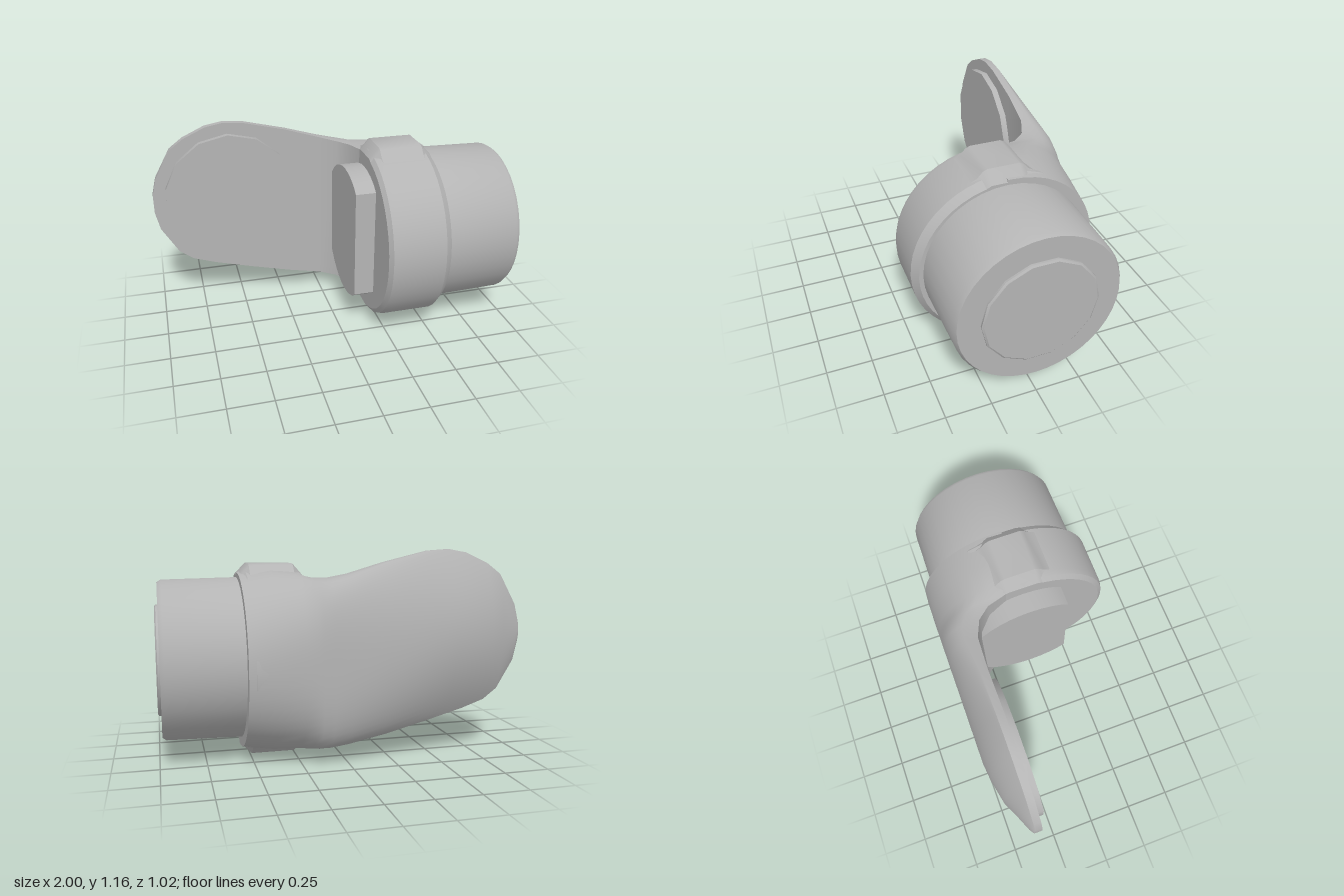
import * as THREE from 'three';
import { toCreasedNormals } from 'three/addons/utils/BufferGeometryUtils.js';

const grey = new THREE.MeshStandardMaterial({ color: 0xb4b4b4 });
grey.name = 'satin grey';

// Closed solid through rings of [z, y] points placed at increasing x
function loft(xs, rings) {
  const n = rings[0].length, pos = [], idx = [];
  rings.forEach((ring, j) => ring.forEach(([z, y]) => pos.push(xs[j], y, z)));
  for (let j = 0; j < rings.length - 1; j++) {
    for (let i = 0; i < n; i++) {
      const a = j * n + i, b = j * n + (i + 1) % n;
      idx.push(a, b, a + n, b, b + n, a + n);
    }
  }
  // End caps as fans around the ring centres
  [0, rings.length - 1].forEach((j) => {
    const c = pos.length / 3, r = rings[j];
    const mean = (k) => r.reduce((s, p) => s + p[k], 0) / n;
    pos.push(xs[j], mean(1), mean(0));
    for (let i = 0; i < n; i++) {
      const a = j * n + i, b = j * n + (i + 1) % n;
      if (j === 0) idx.push(c, b, a); else idx.push(c, a, b);
    }
  });
  const g = new THREE.BufferGeometry();
  g.setAttribute('position', new THREE.Float32BufferAttribute(pos, 3));
  g.setIndex(idx);
  return toCreasedNormals(g, 0.6);
}

// Turned part around the x axis from [x, radius] points
function turned(points, sides) {
  const g = new THREE.LatheGeometry(points.map(([x, r]) => new THREE.Vector2(r, x)), sides);
  g.rotateZ(-Math.PI / 2);
  return toCreasedNormals(g, 0.6);
}

export function createModel() {
  const model = new THREE.Group();
  model.name = 'jointLink';
  const add = (name, geometry, x = 0, y = 0, z = 0) => {
    const mesh = new THREE.Mesh(geometry, grey);
    mesh.name = name;
    mesh.position.set(x, y, z);
    model.add(mesh);
  };

  // Arm shell: x, top, bottom, front z, rim z, back z, and two roundness exponents
  const stations = [
    [-1.0, 0.75, 0.64, -0.33, -0.37, -0.38, 2, 1],
    [-0.975, 0.85, 0.53, -0.33, -0.37, -0.395, 2, 1],
    [-0.88, 1.02, 0.37, -0.33, -0.37, -0.435, 2, 1],
    [-0.8, 1.08, 0.31, -0.33, -0.37, -0.473, 2, 1],
    [-0.67, 1.14, 0.265, -0.33, -0.37, -0.5, 2, 1],
    [-0.57, 1.158, 0.238, -0.33, -0.37, -0.51, 2, 1],
    [-0.45, 1.15, 0.205, -0.33, -0.37, -0.51, 2, 0.95],
    [-0.2, 1.09, 0.142, -0.33, -0.37, -0.51, 2.3, 0.7],
    [0.0, 1.03, 0.105, -0.32, -0.365, -0.51, 2.7, 0.48],
    [0.1, 1.008, 0.088, -0.28, -0.33, -0.51, 3, 0.36],
    [0.16, 1.005, 0.075, -0.21, -0.27, -0.51, 3, 0.35],
    [0.19, 1.01, 0.065, -0.1, -0.2, -0.51, 2.9, 0.36],
    [0.25, 1.035, 0.045, 0, -0.08, -0.51, 2.7, 0.4],
    [0.38, 1.05, 0.03, 0, -0.02, -0.51, 2.4, 0.44],
    [0.55, 1.03, 0.05, 0, -0.02, -0.505, 2.1, 0.49],
  ];
  const steps = 24;
  add('arm', loft(stations.map((s) => s[0]), stations.map(([, top, bottom, front, rim, back, a, b]) => {
    const c = (top + bottom) / 2, h = (top - bottom) / 2;
    const ring = [[front, top], [front, bottom]];
    for (let i = 0; i <= steps; i++) {
      const t = Math.sin((i / steps - 0.5) * Math.PI);
      const bulge = Math.pow(Math.max(0, 1 - Math.pow(Math.abs(t), a)), b);
      ring.push([rim + (back - rim) * bulge, c + h * t]);
    }
    return ring;
  })));

  // Round pad on the paddle end
  const pad = new THREE.CylinderGeometry(0.388, 0.388, 0.05, 14);
  pad.rotateX(Math.PI / 2);
  add('mountingPad', toCreasedNormals(pad, 0.6), -0.545, 0.705, -0.32);

  // Collar ring
  add('collar', turned([[0.19, 0], [0.19, 0.475], [0.21, 0.5], [0.24, 0.508], [0.51, 0.508],
    [0.55, 0.475], [0.55, 0]], 48), 0, 0.54, 0);

  // Lugs on the top and bottom of the collar, chamfered at both ends
  const lugX = [0.19, 0.245, 0.49, 0.55], lugTop = [0.475, 0.538, 0.538, 0.475];
  for (const side of [1, -1]) {
    const g = loft(lugX, lugTop.map((t) => {
      const half = [[0.085, t], [0.11, t - 0.012], [0.14, t - 0.045], [0.18, t - 0.065], [0.18, 0.3]];
      return [...half, ...half.map(([z, y]) => [-z, y]).reverse()];
    }));
    if (side < 0) g.rotateX(Math.PI);
    add(side > 0 ? 'topLug' : 'bottomLug', g, 0, 0.54, 0);
  }

  // Inner boss with a flat cut on its front
  const bossRing = Array.from({ length: 40 }, (_, i) => {
    const a = (i / 40) * Math.PI * 2;
    return [Math.min(0.39 * Math.sin(a), 0.222), 0.55 + 0.39 * Math.cos(a)];
  });
  add('innerBoss', loft([0.075, 0.25], [bossRing, bossRing]));

  // Motor housing and its end cap
  add('housing', turned([[0.5, 0], [0.5, 0.452], [0.55, 0.452], [0.96, 0.444], [0.982, 0.43],
    [0.982, 0]], 40), 0, 0.55, 0);
  add('endCap', turned([[0.97, 0], [0.97, 0.31], [0.993, 0.31], [1.0, 0.3], [1.0, 0]], 14), 0, 0.55, 0);

  return model;
}
